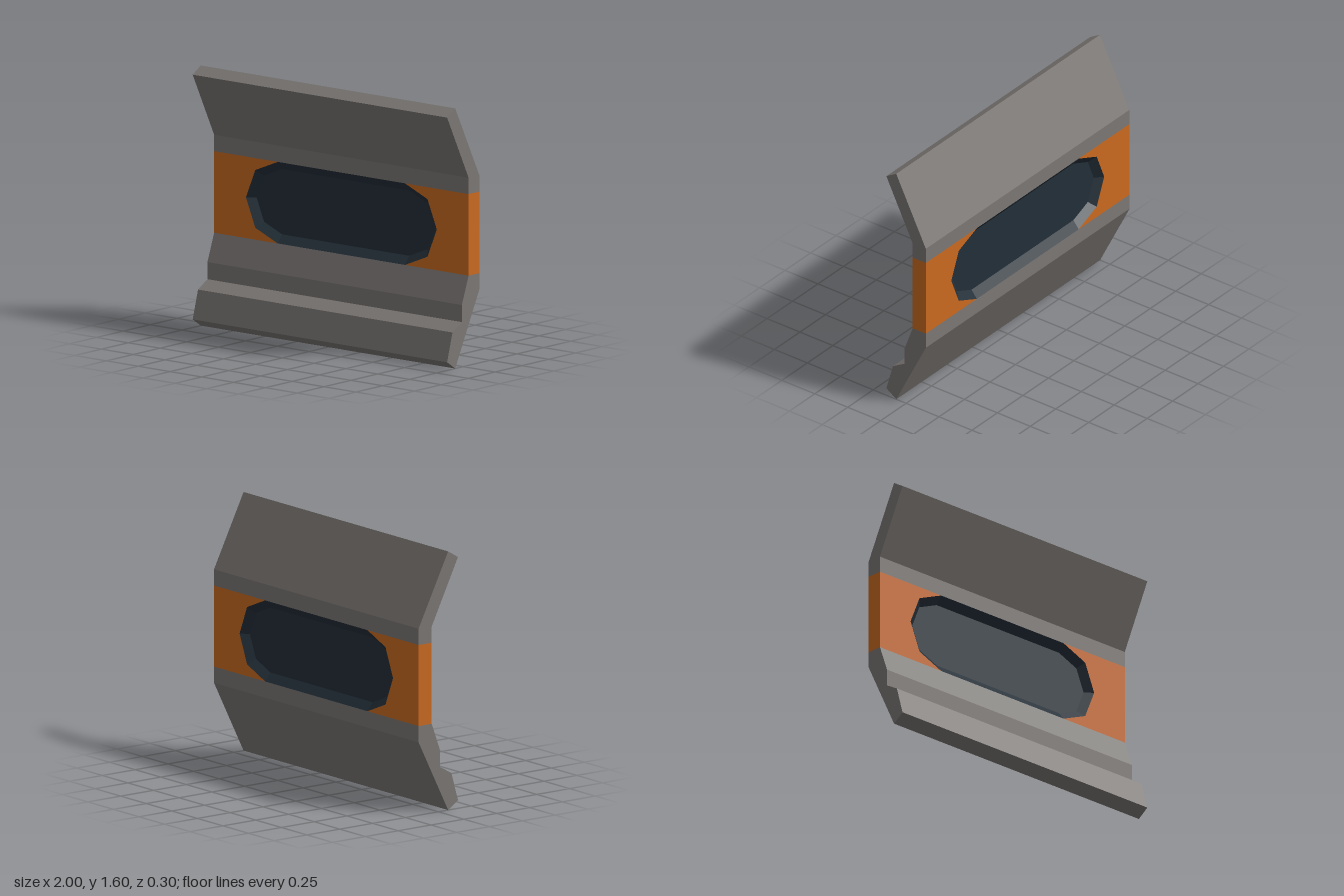
import * as THREE from 'three';

const mat = (name, color) => new THREE.MeshStandardMaterial({ name, color });

const toShape = (pts) => new THREE.Shape(pts.map(([x, y]) => new THREE.Vector2(x, y)));

// Stadium outline with 45 degree steps, counter-clockwise, centred on the origin
function stadium(radius) {
  const pts = [];
  for (const [cx, start] of [[0.5, -90], [-0.5, 90]]) {
    for (let i = 0; i <= 4; i++) {
      const a = THREE.MathUtils.degToRad(start + i * 45);
      pts.push([cx + radius * Math.cos(a), radius * Math.sin(a)]);
    }
  }
  return pts;
}

// Sloped ring between two matching outlines
function bevelRing(outer, zOuter, inner, zInner) {
  const pos = [];
  outer.forEach((a, i) => {
    const j = (i + 1) % outer.length;
    const A = [...a, zOuter], B = [...outer[j], zOuter];
    const C = [...inner[j], zInner], D = [...inner[i], zInner];
    pos.push(...A, ...B, ...C, ...A, ...C, ...D);
  });
  const g = new THREE.BufferGeometry();
  g.setAttribute('position', new THREE.Float32BufferAttribute(pos, 3));
  g.computeVertexNormals();
  return g;
}

export function createModel() {
  const model = new THREE.Group();
  model.name = 'wallPanel';
  const grey = mat('grey metal', 0x7b7774);
  const orange = mat('orange paint', 0xca6a20);
  const glass = mat('dark glass', 0x232f38);

  const add = (name, geometry, material, parent = model) => {
    const mesh = new THREE.Mesh(geometry, material);
    mesh.name = name;
    parent.add(mesh);
    return mesh;
  };

  // Side profiles as [z, y], swept across the full width
  const sweep = (pts) => new THREE.ExtrudeGeometry(toShape(pts), { depth: 2, bevelEnabled: false })
    .translate(0, 0, -1).rotateY(-Math.PI / 2);

  add('upperWall', sweep([
    [-0.15, 1.05], [-0.05, 1.05], [-0.05, 1.15], [0.15, 1.55], [0.075, 1.595], [-0.15, 1.15],
  ]), grey);

  add('lowerWall', sweep([
    [0.075, 0], [0.15, 0.05], [0.1, 0.225], [0.0125, 0.275], [0.0125, 0.38],
    [-0.05, 0.55], [-0.15, 0.55], [-0.15, 0.45],
  ]), grey);

  // Orange end panels, cut to the window outline
  const outer = stadium(0.25);
  const inner = stadium(0.2);
  const rightArc = outer.slice(0, 5).reverse();
  for (const [name, turn] of [['leftPanel', 0], ['rightPanel', Math.PI]]) {
    const g = new THREE.ExtrudeGeometry(
      toShape([[1, -0.25], [1, 0.25], ...rightArc]), { depth: 0.1, bevelEnabled: false });
    g.translate(0, 0, -0.05).rotateY(turn).translate(0, 0.8, -0.1);
    add(name, g, orange);
  }

  // Recessed window, the same on both faces
  for (const [name, turn] of [['frontWindow', 0], ['backWindow', Math.PI]]) {
    const win = new THREE.Group();
    win.name = name;
    win.position.set(0, 0.8, -0.1);
    win.rotation.y = turn;
    add('windowFrame', bevelRing(outer, 0.05, inner, 0.01), glass, win);
    add('windowPane', new THREE.ShapeGeometry(toShape(inner)).translate(0, 0, 0.01), glass, win);
    model.add(win);
  }

  return model;
}
